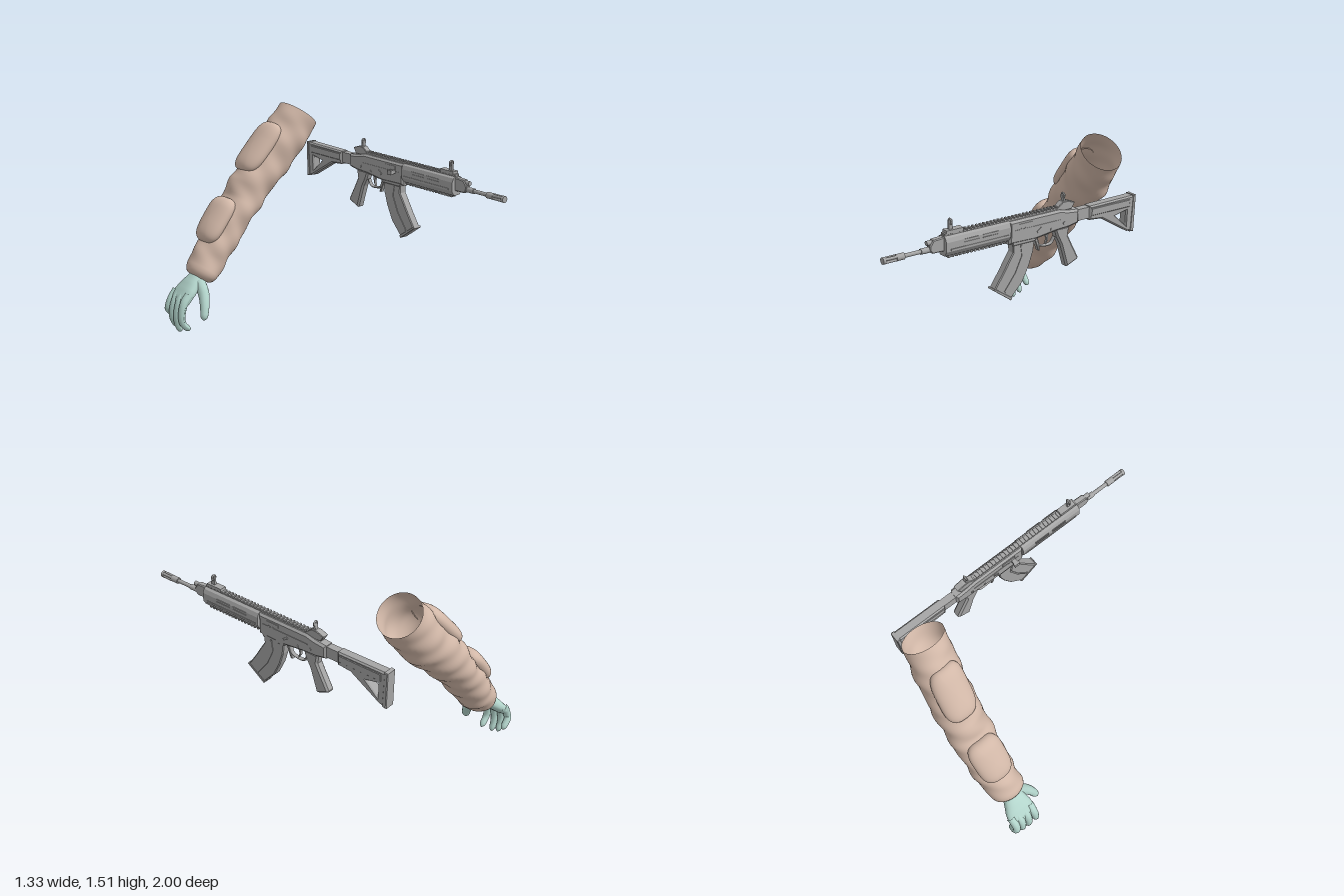
import * as THREE from 'three';

const mat = (name, color, side = THREE.FrontSide) => {
  const m = new THREE.MeshStandardMaterial({ color, side });
  m.name = name;
  return m;
};

export function createModel() {
  const cloth = mat('sleeve cloth', 0xd2b8a8, THREE.DoubleSide);
  const skin = mat('pale green skin', 0xb4d6cd);
  const steel = mat('grey metal', 0xa6a6a6);
  const root = new THREE.Group();
  const arm = new THREE.Group(), gun = new THREE.Group();
  arm.name = 'arm';
  gun.name = 'rifle';
  gun.position.x = 0.615;
  root.add(arm, gun);

  const add = (parent, name, geo, material) => {
    const m = new THREE.Mesh(geo, material);
    m.name = name;
    parent.add(m);
    return m;
  };

  // ---------- Arm: t runs down the limb, s across it in the xy plane ----------
  const start = new THREE.Vector3(0.412, 1.418, 0);
  const along = new THREE.Vector3(-0.629, -0.777, 0);
  const across = new THREE.Vector3(-0.777, 0.629, 0);

  // Smooth grid of points; columns wrap round
  const loft = (fn, rows, cols) => {
    const pos = [], idx = [];
    for (let i = 0; i <= rows; i++)
      for (let j = 0; j < cols; j++) pos.push(...fn(i / rows, j / cols * Math.PI * 2).toArray());
    for (let i = 0; i < rows; i++)
      for (let j = 0; j < cols; j++) {
        const k = (j + 1) % cols, a = i * cols + j, b = i * cols + k;
        idx.push(a, a + cols, b, b, a + cols, b + cols);
      }
    const g = new THREE.BufferGeometry();
    g.setAttribute('position', new THREE.Float32BufferAttribute(pos, 3));
    g.setIndex(idx);
    g.computeVertexNormals();
    return g;
  };

  // Point on a limb given sections [t, s, z, radius across, radius in z]
  const onLimb = (table, t, angle, off = 0, power = 1) => {
    let k = 0;
    while (k < table.length - 2 && t > table[k + 1][0]) k++;
    const f = (t - table[k][0]) / (table[k + 1][0] - table[k][0]);
    const [, s, z, rs, rz] = table[k].map((v, i) => v + (table[k + 1][i] - v) * f);
    const sq = v => Math.sign(v) * Math.abs(v) ** power;
    return start.clone().addScaledVector(along, t)
      .addScaledVector(across, s + (rs + off) * sq(Math.cos(angle)))
      .add(new THREE.Vector3(0, 0, z + (rz + off) * sq(Math.sin(angle))));
  };

  const sleeve = [
    [0, 0, -0.785, 0.147, 0.147], [0.18, -0.008, -0.805, 0.157, 0.15],
    [0.3, -0.011, -0.82, 0.161, 0.15], [0.5, 0.005, -0.84, 0.15, 0.15],
    [0.63, 0.014, -0.848, 0.144, 0.15], [0.75, 0.007, -0.85, 0.125, 0.148],
    [0.85, 0.013, -0.853, 0.124, 0.146], [1.0, 0.01, -0.855, 0.125, 0.14],
    [1.19, 0.004, -0.855, 0.122, 0.132], [1.31, 0.009, -0.845, 0.109, 0.124],
    [1.345, 0.01, -0.845, 0.095, 0.112], [1.36, 0.012, -0.845, 0.075, 0.09],
    [1.368, 0.012, -0.845, 0.04, 0.055]];
  // Soft folds, fading out at both ends
  const folds = (t, a) => Math.min(1, t * 8, Math.max(0, (1.36 - t) * 6)) *
    (0.005 * Math.sin(22 * t + 2 * a) + 0.004 * Math.sin(37 * t - 3 * a + 1));
  add(arm, 'sleeve', loft((u, a) => onLimb(sleeve, u * 1.368, a, folds(u * 1.368, a)), 90, 44), cloth);

  // Padded patches following the sleeve
  const pad = (name, tc, half, spread, height) => {
    const sq = v => Math.sign(v) * Math.abs(v) ** 0.55;
    add(arm, name, loft((u, p) => {
      const rho = Math.sin(u * Math.PI / 2);
      const t = tc - half * rho * sq(Math.sin(p));
      const a = spread * rho * sq(Math.cos(p));
      return onLimb(sleeve, t, a, height * Math.sqrt(1 - rho ** 5 * 0.9999) - 0.006);
    }, 16, 48), cloth);
  };
  pad('upperArmPad', 0.365, 0.2, 0.82, 0.05);
  pad('forearmPad', 0.955, 0.175, 0.85, 0.058);

  // Hand
  const palm = [
    [1.29, 0.015, -0.845, 0.045, 0.058], [1.36, 0.022, -0.845, 0.046, 0.062],
    [1.42, 0.03, -0.85, 0.047, 0.08], [1.48, 0.036, -0.856, 0.044, 0.098],
    [1.54, 0.04, -0.862, 0.038, 0.105], [1.575, 0.038, -0.863, 0.03, 0.1],
    [1.595, 0.036, -0.863, 0.016, 0.085], [1.6, 0.035, -0.863, 0.001, 0.06]];
  add(arm, 'palm', loft((u, a) => onLimb(palm, 1.29 + u * 0.31, a, 0, 0.85), 26, 28), skin);

  // Tapered tube with a rounded tip
  const digit = (name, pts, r0, r1) => {
    const curve = new THREE.CatmullRomCurve3(pts.map(p => new THREE.Vector3(...p)));
    const n = 28, g = new THREE.TubeGeometry(curve, n, 1, 12);
    const pos = g.attributes.position, v = new THREE.Vector3();
    for (let i = 0; i <= n; i++) {
      const u = i / n, c = curve.getPointAt(u), e = Math.max(0, (u - 0.86) / 0.14);
      const r = (r0 + (r1 - r0) * u) * Math.sqrt(Math.max(0.0001, 1 - e * e));
      for (let j = 0; j <= 12; j++) {
        const k = i * 13 + j;
        v.fromBufferAttribute(pos, k).sub(c).multiplyScalar(r).add(c);
        pos.setXYZ(k, v.x, v.y, v.z);
      }
    }
    g.computeVertexNormals();
    add(arm, name, g, skin);
  };
  // [name, base z, tip z, tip y, tip x]
  [['indexFinger', -0.785, -0.782, 0.025, -0.575], ['middleFinger', -0.838, -0.846, 0.004, -0.606],
   ['ringFinger', -0.89, -0.9, 0.028, -0.6], ['littleFinger', -0.938, -0.952, 0.085, -0.575]]
    .forEach(([name, zb, zt, y, x]) => digit(name, [
      [-0.57, 0.28, zb], [-0.618, 0.225, zb], [-0.64, y * 0.45 + 0.125, (zb + zt) / 2],
      [-0.632, y + 0.06, zt], [x, y, zt]], 0.031, 0.021));
  digit('thumb', [[-0.47, 0.35, -0.81], [-0.472, 0.28, -0.755], [-0.497, 0.2, -0.71], [-0.527, 0.112, -0.682]], 0.046, 0.025);

  // ---------- Rifle: side profiles are [z, y] ----------
  const outline = pts => pts.map(p => new THREE.Vector2(...p));
  const profile = (name, pts, width, hole, bevel = 0.006) => {
    const shape = new THREE.Shape(outline(pts));
    if (hole) shape.holes.push(new THREE.Path(outline(hole)));
    const d = width - 2 * bevel;
    const g = new THREE.ExtrudeGeometry(shape, {
      depth: d, bevelEnabled: bevel > 0, bevelSize: bevel, bevelThickness: bevel, bevelOffset: -bevel, bevelSegments: 1 });
    return add(gun, name, g.translate(0, 0, -d / 2).rotateY(-Math.PI / 2), steel);
  };
  const box = (name, w, h, d, x, y, z, tilt = 0) => {
    const m = add(gun, name, new THREE.BoxGeometry(w, h, d), steel);
    m.position.set(x, y, z);
    m.rotation.x = tilt;
    return m;
  };
  const rod = (name, r, z0, z1, y, x = 0) => {
    const m = add(gun, name, new THREE.CylinderGeometry(r, r, z1 - z0, 20).rotateX(Math.PI / 2), steel);
    m.position.set(x, y, (z0 + z1) / 2);
  };
  const pin = (name, r, w, y, z) => {
    const m = add(gun, name, new THREE.CylinderGeometry(r, r, w, 14).rotateZ(Math.PI / 2), steel);
    m.position.set(0, y, z);
  };

  // Barrel, slotted muzzle and gas system
  rod('barrel', 0.013, 0.5, 0.96, 1.125);
  rod('barrelSleeve', 0.018, 0.58, 0.74, 1.125);
  rod('muzzleCollar', 0.021, 0.855, 0.91, 1.125);
  rod('muzzleTip', 0.022, 0.982, 1.0, 1.125);
  for (let i = 0; i < 4; i++) {
    const a = Math.PI / 4 + i * Math.PI / 2;
    rod('muzzleProng', 0.009, 0.9, 0.99, 1.125 + 0.013 * Math.sin(a), 0.013 * Math.cos(a));
  }
  profile('gasBlock', [[0.58, 1.1], [0.665, 1.1], [0.685, 1.12], [0.685, 1.15], [0.66, 1.185], [0.58, 1.19]], 0.042);
  rod('gasPlug', 0.015, 0.6, 0.7, 1.168);

  // Handguard with chamfered section
  const half = [[0.022, 1.193], [0.036, 1.185], [0.048, 1.16], [0.048, 1.1], [0.026, 1.068]];
  const section = new THREE.Shape(outline([...half, ...half.map(([x, y]) => [-x, y]).reverse()]));
  add(gun, 'handguard', new THREE.ExtrudeGeometry(section, { depth: 0.47, bevelEnabled: false }).translate(0, 0, 0.117), steel);
  box('topRail', 0.034, 0.012, 0.86, 0, 1.194, 0.155);
  box('lowerRail', 0.034, 0.014, 0.44, 0, 1.065, 0.345);
  for (let i = 0; i < 32; i++) box('topRailTooth', 0.042, 0.011, 0.014, 0, 1.203, 0.575 - i * 0.027);
  for (let i = 0; i < 16; i++) box('lowerRailTooth', 0.042, 0.011, 0.014, 0, 1.056, 0.55 - i * 0.027);
  for (const s of [-1, 1]) {
    for (const z of [0.41, 0.27])
      for (const dy of [-0.009, 0.009]) box('ventRim', 0.006, 0.004, 0.11, s * 0.049, 1.15 + dy, z);
    box('sideRib', 0.006, 0.012, 0.42, s * 0.049, 1.11, 0.345);
    box('ejectionPort', 0.008, 0.026, 0.1, s * 0.039, 1.152, 0.0);
    box('receiverRib', 0.006, 0.008, 0.36, s * 0.039, 1.125, -0.1);
    box('selector', 0.01, 0.014, 0.04, s * 0.04, 1.095, -0.105, 0.6);
  }

  // Receiver and controls
  profile('receiver', [[0.12, 1.19], [-0.27, 1.19], [-0.33, 1.175], [-0.42, 1.165], [-0.42, 1.075],
    [-0.34, 1.06], [-0.24, 1.055], [-0.08, 1.035], [0.12, 1.04]], 0.078, null, 0.014);
  for (const [y, z] of [[1.128, 0.03], [1.128, 0], [1.08, -0.2], [1.1, -0.3]]) pin('pin', 0.009, 0.086, y, z);
  box('chargingHandle', 0.06, 0.022, 0.03, -0.058, 1.126, 0.035);
  box('chargingKnob', 0.018, 0.03, 0.04, -0.078, 1.126, 0.035);
  profile('magazineWell', [[0.1, 1.06], [-0.09, 1.06], [-0.085, 1.025], [0.09, 1.025]], 0.07);

  // Curved magazine
  const magazine = [[0.087, 1.05], [0.085, 0.98], [0.065, 0.92], [0.02 + 0.08, 0.88], [0.222, 0.768],
    [0.102, 0.672], [0.01, 0.77], [-0.04, 0.87], [-0.07, 0.96], [-0.08, 1.05]];
  magazine[2] = [0.12, 0.925];
  magazine[3] = [0.16, 0.86];
  profile('magazine', magazine, 0.06);
  profile('magazineRib', [[0.02, 1.02], [0.01, 0.95], [0.06, 0.84], [0.145, 0.73], [0.152, 0.737],
    [0.07, 0.845], [0.022, 0.95], [0.032, 1.02]], 0.068, null, 0);
  profile('magazineBase', [[0.226, 0.774], [0.232, 0.762], [0.1, 0.667], [0.088, 0.682]], 0.066, null, 0.002);

  // Trigger group and grip
  profile('magazineRelease', [[-0.085, 1.04], [-0.105, 1.04], [-0.135, 0.945], [-0.12, 0.945]], 0.03, null, 0.003);
  const guard = new THREE.CatmullRomCurve3([[-0.11, 1.03], [-0.13, 0.98], [-0.18, 0.966], [-0.225, 0.972], [-0.25, 1.01]]
    .map(([z, y]) => new THREE.Vector3(0, y, z)));
  add(gun, 'triggerGuard', new THREE.TubeGeometry(guard, 20, 0.008, 8), steel).scale.x = 1.8;
  profile('trigger', [[-0.175, 1.05], [-0.2, 1.05], [-0.198, 1.0], [-0.18, 0.972], [-0.188, 1.01]], 0.016, null, 0);
  profile('grip', [[-0.235, 1.07], [-0.255, 1.01], [-0.285, 0.955], [-0.335, 0.795], [-0.345, 0.79], [-0.43, 0.826],
    [-0.432, 0.838], [-0.375, 0.945], [-0.345, 1.005], [-0.355, 1.07]], 0.062, null, 0.012);

  // Stock with triangular opening and butt plate
  box('stockTube', 0.05, 0.075, 0.2, 0, 1.122, -0.47);
  profile('stock', [[-0.51, 1.165], [-0.88, 1.17], [-0.885, 1.16], [-0.875, 0.925], [-0.83, 0.93], [-0.61, 1.063], [-0.51, 1.072]],
    0.07, [[-0.725, 1.058], [-0.815, 1.075], [-0.815, 0.975]], 0.01);
  profile('stockCheek', [[-0.52, 1.15], [-0.84, 1.15], [-0.84, 1.1], [-0.52, 1.1]], 0.078, null, 0.004);
  profile('buttPlate', [[-0.865, 1.175], [-0.89, 1.172], [-0.882, 0.92], [-0.85, 0.925]], 0.076, null, 0.005);

  // Sights
  box('frontSightBase', 0.046, 0.022, 0.12, 0, 1.214, 0.51);
  box('frontSightPost', 0.016, 0.07, 0.026, 0, 1.248, 0.53);
  const ring = add(gun, 'frontSightRing', new THREE.TorusGeometry(0.016, 0.006, 8, 20), steel);
  ring.position.set(0, 1.272, 0.53);
  profile('rearSightBase', [[-0.24, 1.19], [-0.3, 1.235], [-0.34, 1.235], [-0.395, 1.215], [-0.37, 1.175], [-0.27, 1.175]], 0.046, null, 0.004);
  box('rearSightLeaf', 0.026, 0.05, 0.014, 0, 1.25, -0.315, 0.15);
  const peep = add(gun, 'rearSightRing', new THREE.TorusGeometry(0.014, 0.006, 8, 20), steel);
  peep.position.set(0, 1.272, -0.315);
  return root;
}
